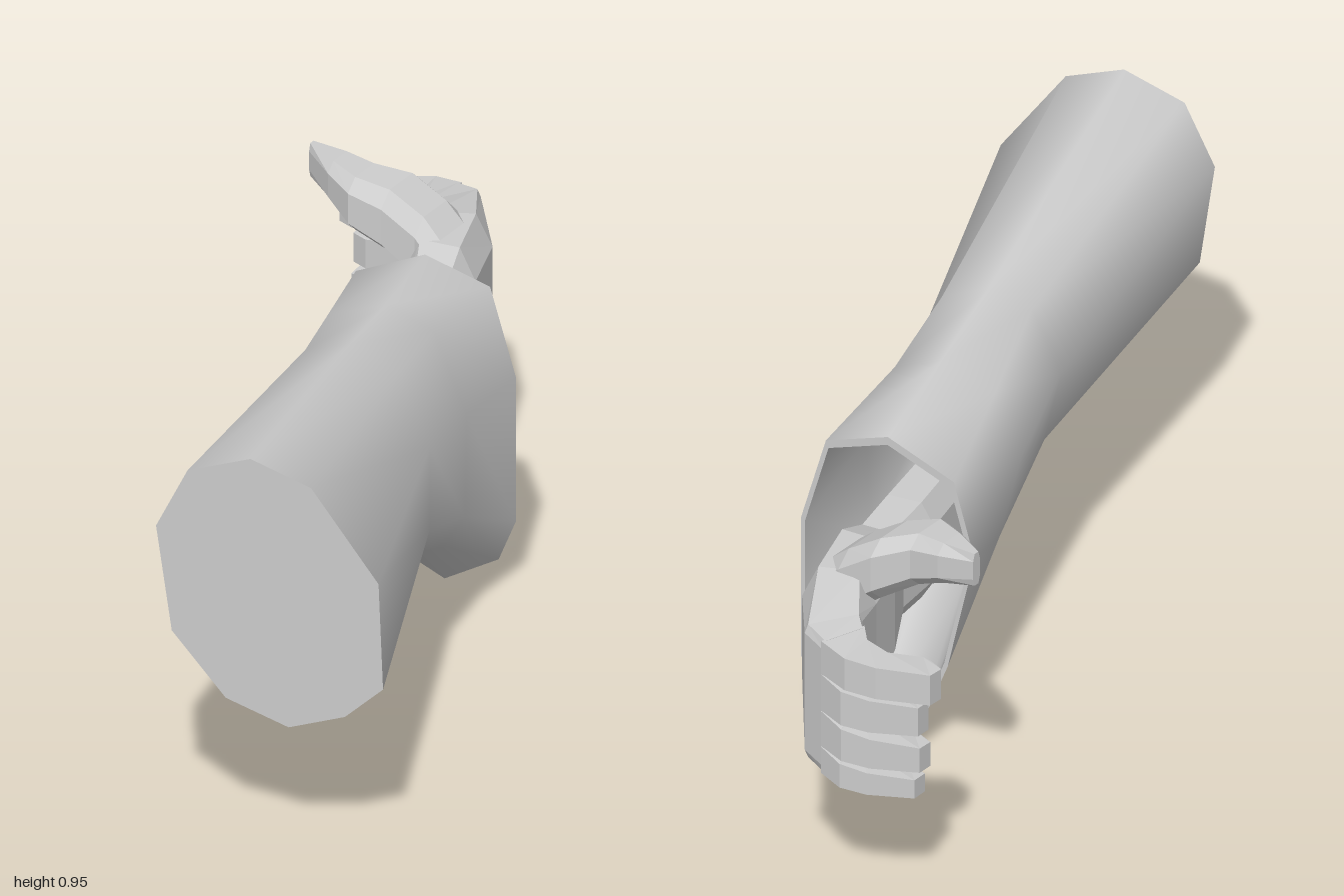
import * as THREE from 'three';

const V = (x, y, z) => new THREE.Vector3(x, y, z);
const lerp = THREE.MathUtils.lerp;

// Skin a row of equal-sized closed rings, optionally capping the ends
function loft(rings, { capStart = false, capEnd = false, flat = false } = {}) {
  const n = rings[0].length;
  const pos = [];
  const idx = [];
  rings.forEach((r) => r.forEach((p) => pos.push(p.x, p.y, p.z)));
  for (let k = 0; k < rings.length - 1; k++) {
    for (let i = 0; i < n; i++) {
      const j = (i + 1) % n;
      const a = k * n;
      const b = a + n;
      idx.push(a + i, a + j, b + j, a + i, b + j, b + i);
    }
  }
  const cap = (ring, flip) => {
    const base = pos.length / 3;
    ring.forEach((p) => pos.push(p.x, p.y, p.z));
    for (let i = 1; i < n - 1; i++) {
      idx.push(base, base + (flip ? i + 1 : i), base + (flip ? i : i + 1));
    }
  };
  if (capStart) cap(rings[0], true);
  if (capEnd) cap(rings[rings.length - 1], false);
  let geo = new THREE.BufferGeometry();
  geo.setAttribute('position', new THREE.Float32BufferAttribute(pos, 3));
  geo.setIndex(idx);
  if (flat) geo = geo.toNonIndexed();
  geo.computeVertexNormals();
  return geo;
}

// Hand cross-section between an outer and an inner [x, z] point; c is the corner chamfer
function section(o, i, top, bottom, c = 0) {
  const p = (t, s) => V(lerp(o[0], i[0], t), lerp(top, bottom, s), lerp(o[1], i[1], t));
  if (c === 0) return [p(0, 0), p(0, 1), p(1, 1), p(1, 0)];
  const d = 1 - c;
  return [p(0, c), p(0, d), p(c, 1), p(d, 1), p(1, d), p(1, c), p(d, 0), p(c, 0)];
}

// Sleeve ring from [x, y] points on a slanted plane z = z0 + slope * x
const slantRing = (pts, z0, slope) => pts.map(([x, y]) => V(x, y, z0 + slope * x));

function shrink(ring, s) {
  const c = V(0, 0, 0);
  ring.forEach((p) => c.add(p));
  c.divideScalar(ring.length);
  return ring.map((p) => p.clone().lerp(c, 1 - s));
}

export function createModel() {
  const model = new THREE.Group();
  model.name = 'sleevedArm';
  const cloth = new THREE.MeshStandardMaterial({ color: 0xcccccc, side: THREE.DoubleSide });
  const skin = new THREE.MeshStandardMaterial({ color: 0xcccccc, flatShading: true });
  const add = (parent, name, geo, mat) => {
    const mesh = new THREE.Mesh(geo, mat);
    mesh.name = name;
    parent.add(mesh);
  };

  // Sleeve: ten-sided rings from the capped upper end to the drooping cuff
  const sleeve = [
    slantRing([[0.375, 0.31], [0.235, 0.36], [0.115, 0.505], [0.08, 0.755], [0.15, 0.9],
      [0.29, 0.95], [0.425, 0.9], [0.575, 0.69], [0.585, 0.435], [0.5, 0.355]], 1.01, -0.24),
    slantRing([[0.13, 0.33], [0.02, 0.36], [-0.06, 0.49], [-0.1, 0.67], [-0.03, 0.81],
      [0.07, 0.84], [0.18, 0.79], [0.25, 0.62], [0.25, 0.42], [0.2, 0.35]], 0.18, -0.22),
    slantRing([[0.05, 0.21], [-0.06, 0.25], [-0.14, 0.4], [-0.19, 0.61], [-0.13, 0.76],
      [0, 0.805], [0.11, 0.76], [0.185, 0.57], [0.18, 0.32], [0.13, 0.24]], -0.1, -0.2),
    slantRing([[-0.035, 0], [-0.155, 0.06], [-0.225, 0.24], [-0.29, 0.53], [-0.24, 0.71],
      [-0.08, 0.78], [0.07, 0.73], [0.13, 0.52], [0.13, 0.17], [0.09, 0.07]], -0.41, -0.17),
  ];
  add(model, 'sleeve', loft(sleeve, { capStart: true }), cloth);

  // Lining: thin cuff rim and the inner wall of the sleeve
  const rim = shrink(sleeve[3], 0.95);
  add(model, 'cuffRim', loft([sleeve[3], rim]), cloth);
  add(model, 'sleeveLining', loft([rim, shrink(sleeve[2], 0.94), shrink(sleeve[1], 0.93)]), cloth);

  const hand = new THREE.Group();
  hand.name = 'hand';
  model.add(hand);

  // Wrist and palm, curving toward the knuckles
  const palm = [
    [[0.0, -0.16], [-0.13, -0.13], 0.64, 0.41],
    [[-0.055, -0.41], [-0.195, -0.38], 0.64, 0.4],
    [[-0.08, -0.53], [-0.21, -0.51], 0.63, 0.4],
    [[-0.1, -0.64], [-0.27, -0.62], 0.68, 0.34],
    [[-0.16, -0.81], [-0.31, -0.74], 0.68, 0.325],
    [[-0.285, -0.965], [-0.355, -0.85], 0.645, 0.31],
    [[-0.35, -0.985], [-0.385, -0.88], 0.635, 0.3],
  ].map(([o, i, t, b], k) => section(o, i, t, b, k > 4 ? 0.06 : 0.22));
  add(hand, 'palm', loft(palm, { capStart: true, capEnd: true, flat: true }), skin);

  // Fingers: curled boxes; top and bottom heights at base and tip, plus tip offset
  const curl = [
    [[-0.345, -0.985], [-0.38, -0.875], 0],
    [[-0.42, -1.0], [-0.41, -0.905], 0.3],
    [[-0.49, -0.98], [-0.47, -0.91], 0.55],
    [[-0.59, -0.915], [-0.53, -0.86], 0.95],
    [[-0.59, -0.875], [-0.55, -0.86], 1],
  ];
  const fingers = [
    ['indexFinger', 0.635, 0.6, 0.553, 0.525, 0],
    ['middleFinger', 0.551, 0.505, 0.46, 0.435, 0.035],
    ['ringFinger', 0.458, 0.405, 0.37, 0.345, 0.03],
    ['littleFinger', 0.368, 0.32, 0.302, 0.275, 0.045],
  ];
  for (const [name, top0, top1, bot0, bot1, short] of fingers) {
    const rings = curl.map(([o, i, t]) => section(
      [o[0] + short * t, o[1]], [i[0] + short * t, i[1]],
      lerp(top0, top1, t), lerp(bot0, bot1, t)));
    add(hand, name, loft(rings, { capStart: true, capEnd: true, flat: true }), skin);
  }

  // Thumb: x, y, z centre with half height and half depth
  const thumb = [
    [-0.18, 0.59, -0.69, 0.08, 0.09],
    [-0.24, 0.64, -0.7, 0.08, 0.085],
    [-0.32, 0.695, -0.69, 0.075, 0.085],
    [-0.395, 0.727, -0.66, 0.064, 0.07],
    [-0.47, 0.747, -0.68, 0.05, 0.05],
    [-0.555, 0.76, -0.702, 0.04, 0.012],
  ].map(([x, y, z, h, d]) => section([x, z - d], [x, z + d], y + h, y - h, 0.22));
  add(hand, 'thumb', loft(thumb, { capStart: true, capEnd: true, flat: true }), skin);

  return model;
}
